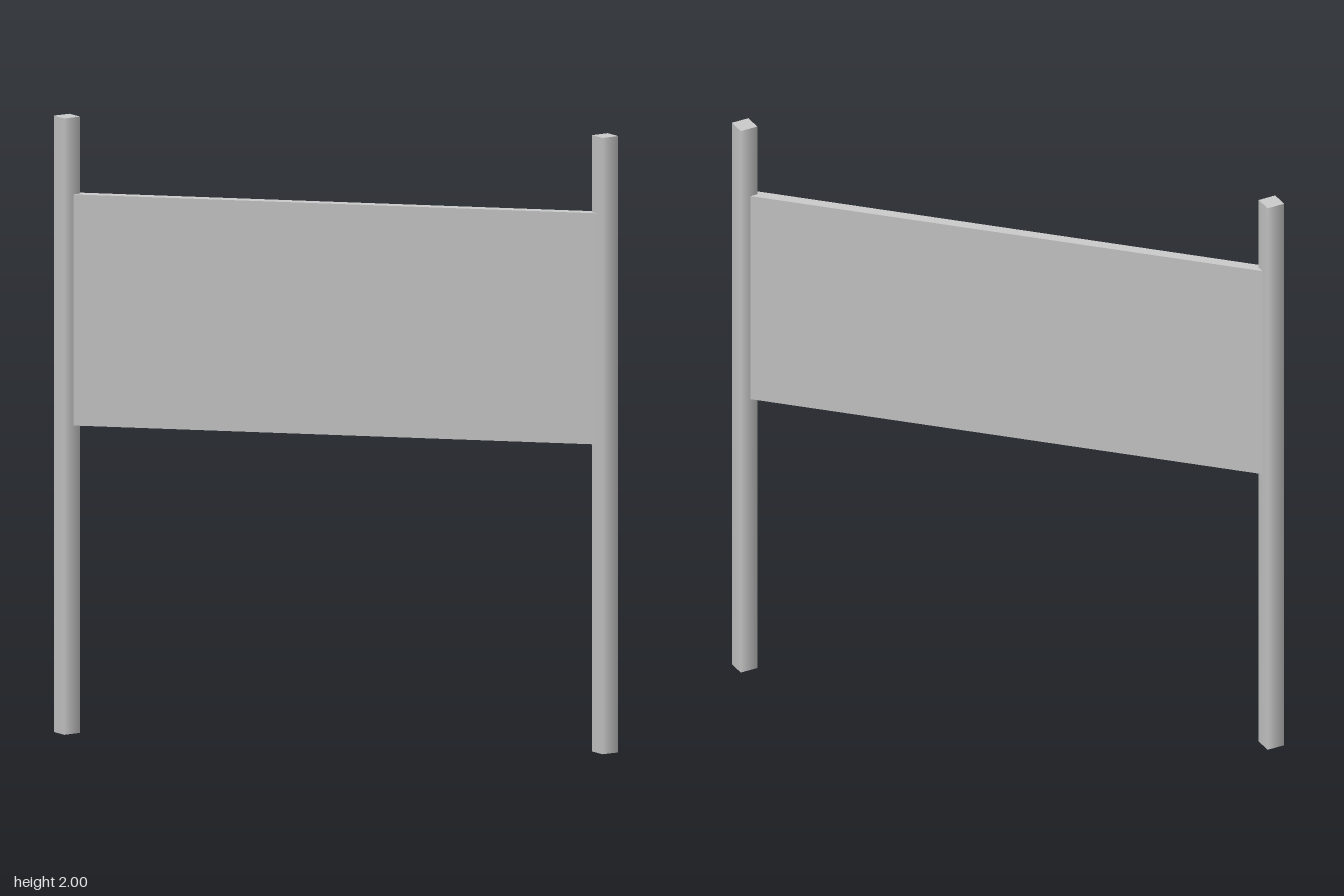
import * as THREE from 'three';

export function createModel() {
  const group = new THREE.Group();
  const material = new THREE.MeshStandardMaterial({ color: 0xcccccc });

  // Two four-sided posts, turned corner-on, with soft shading
  const postGeometry = new THREE.CylinderGeometry(0.0425, 0.0425, 2, 4);
  for (const [name, side] of [['leftPost', 1], ['rightPost', -1]]) {
    const post = new THREE.Mesh(postGeometry, material);
    post.name = name;
    post.position.set(side * 0.875, 1, 0);
    group.add(post);
  }

  // Board running into the middle of both posts
  const board = new THREE.Mesh(new THREE.BoxGeometry(1.75, 0.75, 0.035), material);
  board.name = 'board';
  board.position.y = 1.375;
  group.add(board);

  return group;
}
